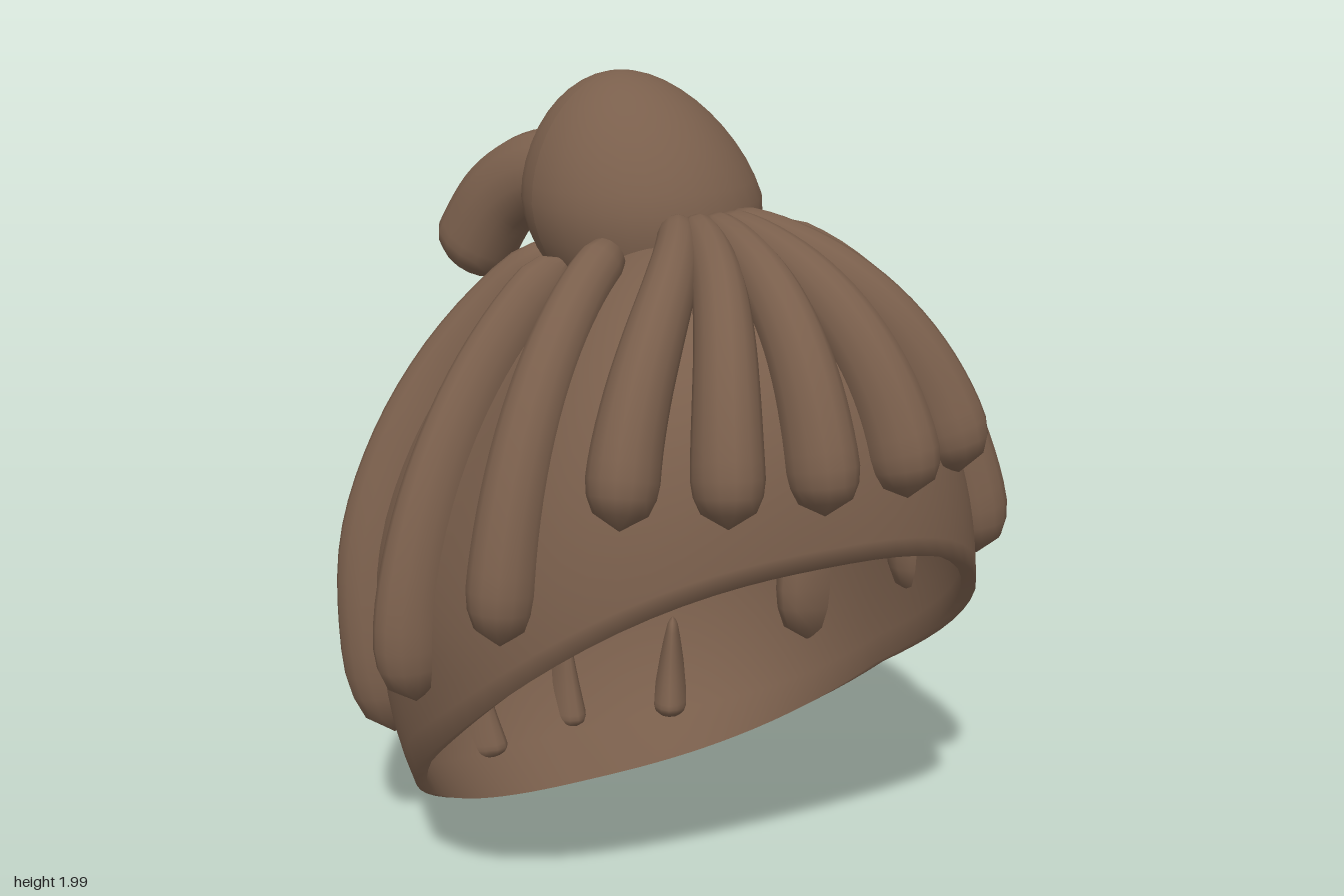
import * as THREE from 'three';

const V = (x, y, z) => new THREE.Vector3(x, y, z);
const lerp = THREE.MathUtils.lerp;
const brown = new THREE.MeshStandardMaterial({ color: 0x7a5f4c, side: THREE.DoubleSide });
brown.name = 'brown hair';

// Skin closed rings of points, each counter-clockwise around the direction of travel
function loft(rings) {
  const n = rings[0].length, pos = [], idx = [];
  rings.forEach((ring, i) => ring.forEach((p, j) => {
    pos.push(p.x, p.y, p.z);
    if (i === rings.length - 1) return;
    const a = i * n + j, b = i * n + (j + 1) % n;
    idx.push(a, b, a + n, b, b + n, a + n);
  }));
  const g = new THREE.BufferGeometry();
  g.setAttribute('position', new THREE.Float32BufferAttribute(pos, 3));
  g.setIndex(idx);
  g.computeVertexNormals();
  return g;
}

// Tapered lock of hair: half width w0..w1, outward and inward half depths, rounded tip
function lockGeometry(points, w0, w1, out, inn) {
  const steps = 24, sides = 14, rings = [];
  const curve = new THREE.CatmullRomCurve3(points);
  for (let i = 0; i <= steps; i++) {
    const t = i / steps, p = curve.getPointAt(t), T = curve.getTangentAt(t);
    const N = p.clone().sub(V(0, 0.7, 0));
    N.addScaledVector(T, -N.dot(T)).normalize();
    const B = T.clone().cross(N);
    const tip = Math.sqrt(Math.max(0, 1 - Math.max(0, (t - 0.86) / 0.14) ** 2));
    const k = tip * Math.min(1, Math.sqrt(t / 0.06));
    const w = lerp(w0, w1, t ** 0.8) * k, d = lerp(w0 / w1, 1, t ** 0.7) * k;
    const ring = [];
    for (let j = 0; j < sides; j++) {
      const a = j / sides * Math.PI * 2, c = Math.cos(a);
      ring.push(p.clone().addScaledVector(N, c * d * (c > 0 ? out : inn)).addScaledVector(B, Math.sin(a) * w));
    }
    rings.push(ring);
  }
  return loft(rings);
}

// Cap surface: rounded plan, full at the front, sloping at sides and back
const MID = 0.75, HALF = 0.9;
function capPoint(a, y) {
  const s = Math.sin(a), c = Math.cos(a), e = c > 0 ? 2.6 : 2.3;
  const R = (Math.abs(s / 0.695) ** e + Math.abs(c / (c > 0 ? 0.75 : 0.765)) ** e) ** (-1 / e);
  const t = Math.min(1, Math.abs(y - MID) / HALF);
  const p = y < MID ? 2.1 + 0.5 * s * s : 1.6 + 1.4 * Math.max(0, c) ** 2;
  const r = R * (1 - t ** p) ** (1 / p);
  return V(s * r, y, c * r);
}

// Slanted opening, high over the brow and low at the nape
const rimHeight = z => 0.395 + 0.86 * z - (z > 0 ? 0.035 * Math.sin(Math.PI * z / 0.75) : 0);
function findRim(a) {
  let lo = -0.1, hi = 1.4;
  for (let i = 0; i < 30; i++) {
    const m = (lo + hi) / 2;
    if (m < rimHeight(capPoint(a, m).z)) lo = m; else hi = m;
  }
  return lo;
}

function capGeometry() {
  const n = 72, rows = 30, top = MID + HALF, outer = [], inner = [];
  const angles = Array.from({ length: n }, (_, j) => -j / n * Math.PI * 2);
  const rims = angles.map(findRim);
  for (let i = 0; i <= rows; i++) {
    const s = i / rows;
    const ring = angles.map((a, j) => capPoint(a, top - (top - rims[j]) * s * s));
    outer.push(ring);
    inner.unshift(ring.map(p => V(p.x * 0.955, p.y - 0.04 * (1 - s), p.z * 0.955)));
  }
  return loft([...outer, ...inner]);
}

// Path down the cap, turning from angle a0 to a1 (degrees) while falling from y0 to y1
function capPath(a0, a1, y0, y1, fall, lift) {
  return Array.from({ length: 7 }, (_, i) => {
    const t = i / 6, angle = lerp(a0, a1, Math.sin(t * Math.PI / 2));
    const p = capPoint(THREE.MathUtils.degToRad(angle), lerp(y0, y1, t ** fall));
    return V(p.x * lift, p.y + 0.04 * (1 - t), p.z * lift);
  });
}

export function createModel() {
  const model = new THREE.Group();
  model.name = 'hairstyle';
  const add = (name, geometry) => {
    const m = new THREE.Mesh(geometry, brown);
    m.name = name;
    model.add(m);
    return m;
  };

  add('cap', capGeometry());

  // Fringe: five locks fanning out from the crown
  for (const k of [-2, -1, 0, 1, 2]) {
    add('fringeLock', lockGeometry(capPath(k * 9.5, k * 17.5, 1.645, 1.15, 1.7, 1.015), 0.04, 0.085, 0.1, 0.08));
  }

  // Paired locks: start angle, end angle, start height, end height, lift, tip half width, outward and inward depth
  const pairs = {
    templeLock: [56, 55.5, 1.61, 0.86, 1.02, 0.083, 0.09, 0.09],
    sideLock: [98, 82, 1.55, 0.61, 1.025, 0.075, 0.1, 0.1],
    rearSideLock: [145, 115, 1.54, 0.35, 1.01, 0.08, 0.095, 0.19],
    rearLock: [158, 150, 1.54, 0.55, 1, 0.072, 0.06, 0.17],
  };
  for (const [name, [a0, a1, y0, y1, lift, w, out, inn]] of Object.entries(pairs)) {
    for (const side of [1, -1]) {
      add(name + (side > 0 ? 'Left' : 'Right'),
        lockGeometry(capPath(a0 * side, a1 * side, y0, y1, 1.3, lift), 0.05, w, out, inn));
    }
  }
  add('rearMiddleLock', lockGeometry(capPath(180, 180, 1.54, 0.53, 1.3, 1), 0.05, 0.064, 0.05, 0.16));

  // Small hair tips poking through the nape
  for (const side of [-1, 0, 1]) {
    const x = side * 0.31, z = -0.65 + Math.abs(side) * 0.08;
    add('napeTip', lockGeometry([V(x, 0.4, z + 0.03), V(x, 0.24, z + 0.02), V(x * 0.97, 0.1, z + 0.03)], 0.008, 0.058, 0.09, 0.11));
  }

  // Topknot: slightly egg-shaped ball, a knot behind it and a loose tail
  const ball = new THREE.SphereGeometry(0.29, 32, 22);
  const p = ball.attributes.position;
  for (let i = 0; i < p.count; i++) {
    const y = p.getY(i), up = Math.max(0, y);
    p.setX(i, p.getX(i) * (1 - up * 0.6) - up * 0.08);
    p.setZ(i, p.getZ(i) * (1 - up * 0.4) - y * 0.2);
  }
  ball.computeVertexNormals();
  add('bun', ball).position.set(-0.005, 1.71, -0.11);

  add('knot', new THREE.SphereGeometry(0.17, 24, 16)).position.set(-0.01, 1.7, -0.29);

  add('bunTail', lockGeometry(
    [V(-0.04, 1.71, -0.24), V(-0.13, 1.73, -0.37), V(-0.2, 1.66, -0.48), V(-0.27, 1.47, -0.585)],
    0.09, 0.1, 0.12, 0.1));

  return model;
}
